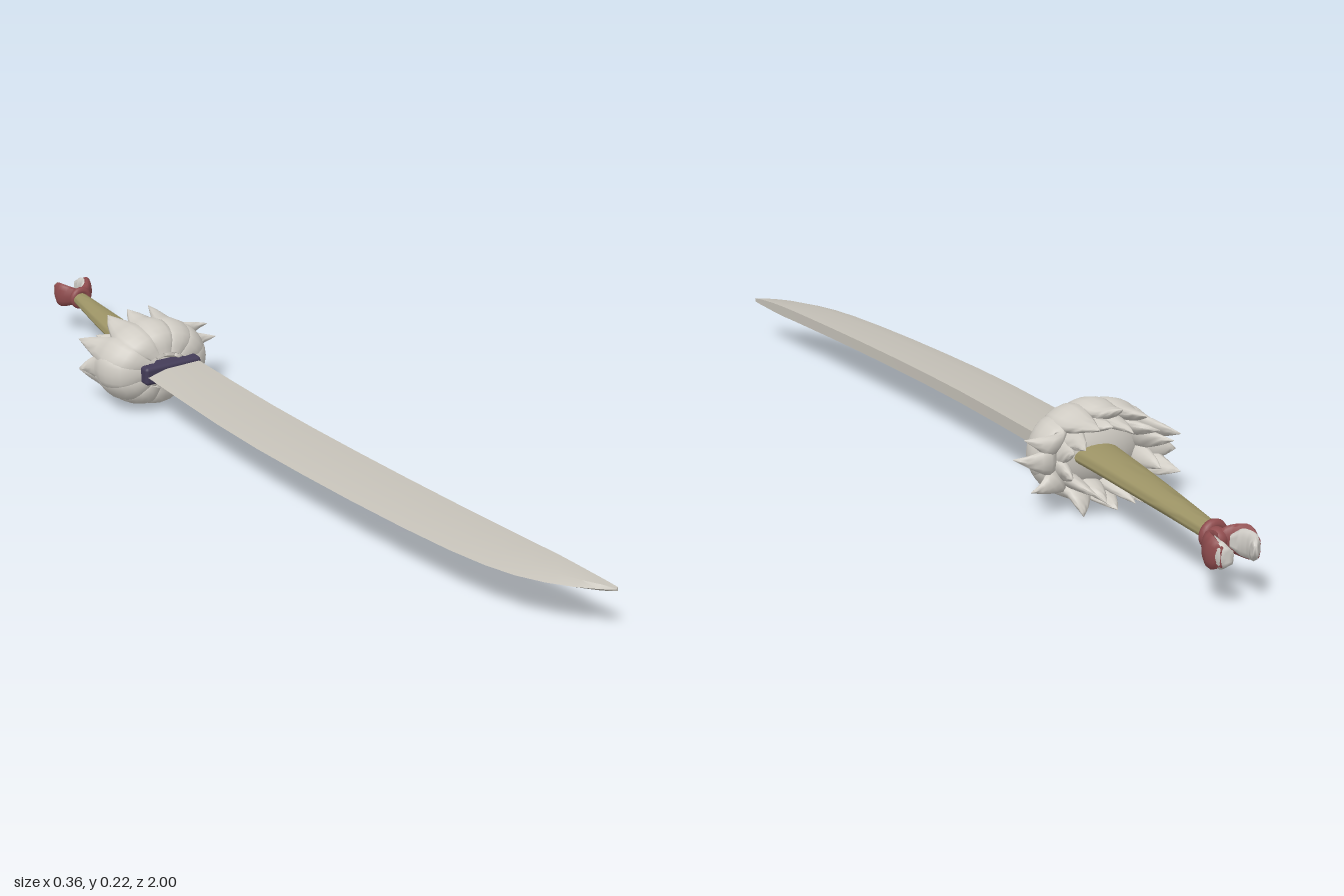
import * as THREE from 'three';
import { toCreasedNormals } from 'three/addons/utils/BufferGeometryUtils.js';
import { RoundedBoxGeometry } from 'three/addons/geometries/RoundedBoxGeometry.js';

const V = (x, y, z) => new THREE.Vector3(x, y, z);
const MID = 0.112; // height of the sword's centre plane

function material(name, color) {
  const m = new THREE.MeshStandardMaterial({ color });
  m.name = name;
  return m;
}

// Closed skin over a row of equal-length cross-section loops
function loft(rings, crease) {
  const n = rings[0].length, pts = rings.flat(), idx = [];
  for (let r = 0; r < rings.length - 1; r++) {
    for (let i = 0; i < n; i++) {
      const a = r * n + i, b = r * n + (i + 1) % n;
      idx.push(a, b, a + n, b, b + n, a + n);
    }
  }
  const last = (rings.length - 1) * n;
  for (let i = 1; i < n - 1; i++) idx.push(0, i + 1, i, last, last + i, last + i + 1);
  // Turn the skin outward when its enclosed volume comes out negative
  let volume = 0;
  const cross = V(0, 0, 0);
  for (let i = 0; i < idx.length; i += 3) {
    volume += pts[idx[i]].dot(cross.crossVectors(pts[idx[i + 1]], pts[idx[i + 2]]));
  }
  if (volume < 0) idx.reverse();
  const geo = new THREE.BufferGeometry().setFromPoints(pts);
  geo.setIndex(idx);
  return toCreasedNormals(geo, crease);
}

// Oval section swept along a curve; sizes are [half width along side, half thickness]
function sweep(points, sizes, side, steps = 14, sides = 12) {
  const path = new THREE.CatmullRomCurve3(points);
  const size = new THREE.CatmullRomCurve3(sizes.map(([w, t]) => V(w, t, 0)));
  const rings = [];
  for (let k = 0; k <= steps; k++) {
    const u = k / steps, c = path.getPoint(u), s = size.getPoint(u);
    const normal = path.getTangent(u).cross(side).normalize();
    const ring = [];
    for (let i = 0; i < sides; i++) {
      const a = i / sides * Math.PI * 2;
      ring.push(c.clone()
        .addScaledVector(side, Math.cos(a) * s.x)
        .addScaledVector(normal, Math.sin(a) * s.y));
    }
    rings.push(ring);
  }
  return loft(rings, 1.2);
}

// Curved single-edged blade: sharp on -x, thick spine on +x
function bladeGeometry() {
  // z, cutting edge x, spine x, half thickness
  const stations = [
    [-0.35, -0.085, 0.055, 0.0135], [-0.15, -0.089, 0.054, 0.0135],
    [0, -0.09, 0.055, 0.0135], [0.15, -0.086, 0.06, 0.0135],
    [0.3, -0.076, 0.068, 0.0135], [0.45, -0.063, 0.078, 0.0135],
    [0.6, -0.046, 0.09, 0.0135], [0.72, -0.028, 0.101, 0.0135],
    [0.8, -0.01, 0.109, 0.0135], [0.86, 0.011, 0.116, 0.0132],
    [0.91, 0.04, 0.121, 0.0115], [0.95, 0.072, 0.126, 0.009],
    [0.98, 0.104, 0.13, 0.007], [1, 0.13, 0.134, 0.004],
  ];
  return loft(stations.map(([z, edge, spine, t]) => {
    const bevel = edge + (spine - edge) * 0.36;
    return [
      V(edge, MID, z), V(bevel, MID + t * 0.9, z), V(spine, MID + t, z),
      V(spine, MID - t, z), V(bevel, MID - t * 0.9, z),
    ];
  }), 0.5);
}

// One fur lock: leaves the collar, bulges out and curls to a point
function furLock(angle, scale, flare, tipZ, sway) {
  const dx = 0.14 * Math.cos(angle), dy = 0.098 * Math.sin(angle);
  const side = V(-0.14 * Math.sin(angle), 0.098 * Math.cos(angle), 0).normalize();
  const at = (r, z, shift = 0) =>
    V(-0.022 + dx * r * scale, 0.11 + dy * r * scale, z).addScaledVector(side, shift);
  const points = [
    at(0.4, -0.352), at(0.74, -0.368), at(0.89, -0.41),
    at(0.88, -0.455, sway * 0.3), at((0.9 + flare) / 2, (tipZ - 0.47) / 2, sway * 0.6),
    at(flare, tipZ, sway),
  ];
  const sizes = [[0.022, 0.01], [0.038, 0.016], [0.042, 0.018], [0.033, 0.015], [0.016, 0.008], [0.0008, 0.0008]]
    .map(([w, t]) => [w * (0.3 + 0.7 * scale), t]);
  return sweep(points, sizes, side);
}

export function createModel() {
  const model = new THREE.Group();
  model.name = 'curvedSword';
  const steel = material('pale steel', 0xc4c0b7);
  const fur = material('pale fur', 0xd0ccc4);
  const purple = material('dark purple', 0x433c58);
  const olive = material('olive wrap', 0x9c9365);
  const red = material('dull red', 0x8f4c4e);
  const claw = material('pale claw', 0xcbc8c2);

  const add = (parent, name, geo, mat, x = 0, y = 0, z = 0) => {
    const mesh = new THREE.Mesh(geo, mat);
    mesh.name = name;
    mesh.position.set(x, y, z);
    parent.add(mesh);
    return mesh;
  };

  add(model, 'blade', bladeGeometry(), steel);
  add(model, 'collar', new RoundedBoxGeometry(0.153, 0.045, 0.045, 3, 0.009), purple, -0.014, MID, -0.342);

  // Fur guard: core, large outer locks and smaller inner locks
  const guard = new THREE.Group();
  guard.name = 'furGuard';
  model.add(guard);
  const core = add(guard, 'furCore', new THREE.SphereGeometry(1, 28, 18), fur, -0.022, 0.11, -0.41);
  core.scale.set(0.118, 0.082, 0.056);
  const flares = [1.4, 1.34, 1.02, 1.08, 1.0, 1.04, 1.14, 1.0, 1.1, 1.0, 1.2, 1.3];
  flares.forEach((flare, i) => {
    const a = i / flares.length * Math.PI * 2;
    const tipZ = -0.535 + (flare - 1) * 0.25 + 0.015 * Math.sin(i * 2.3);
    add(guard, 'outerLock', furLock(a, 1, flare, tipZ, 0.018 * Math.sin(i * 4.1 + 1)), fur);
    const b = a + Math.PI / flares.length;
    add(guard, 'innerLock', furLock(b, 0.78, 1.02 + 0.14 * Math.sin(i * 1.7),
      -0.53 + 0.02 * Math.cos(i * 2.9), 0.015 * Math.cos(i * 3.3)), fur);
  });

  // Tapering grip
  add(model, 'grip', sweep(
    [V(-0.012, MID, -0.37), V(-0.004, MID, -0.5), V(0.014, MID, -0.7), V(0.036, MID, -0.905)],
    [[0.058, 0.024], [0.048, 0.022], [0.035, 0.019], [0.019, 0.016]],
    V(1, 0, 0), 20, 20), olive);

  // Pommel: ringed neck and two hooked prongs with pale inner faces
  const pommel = new THREE.Group();
  pommel.name = 'pommel';
  pommel.position.set(0.047, MID, 0);
  model.add(pommel);
  add(pommel, 'neckRing', new THREE.TorusGeometry(0.02, 0.01, 10, 24), red, -0.008, 0, -0.9);
  const neck = add(pommel, 'neck', new THREE.SphereGeometry(0.021, 20, 14), red, -0.003, 0, -0.915);
  neck.scale.z = 1.1;
  for (const s of [-1, 1]) {
    add(pommel, 'prong', sweep(
      [V(-s * 0.004, 0, -0.92), V(s * 0.022, 0, -0.928), V(s * 0.041, 0, -0.955), V(s * 0.039, 0, -0.988)],
      [[0.014, 0.011], [0.026, 0.012], [0.033, 0.011], [0.019, 0.004]],
      V(0, 1, 0)), red);
    add(pommel, 'clawTip', sweep(
      [V(s * 0.016, 0, -0.938), V(s * 0.032, 0, -0.955), V(s * 0.036, 0, -0.978), V(s * 0.024, 0, -0.997)],
      [[0.012, 0.007], [0.027, 0.01], [0.027, 0.011], [0.012, 0.004]],
      V(0, 1, 0)), claw);
  }
  return model;
}
